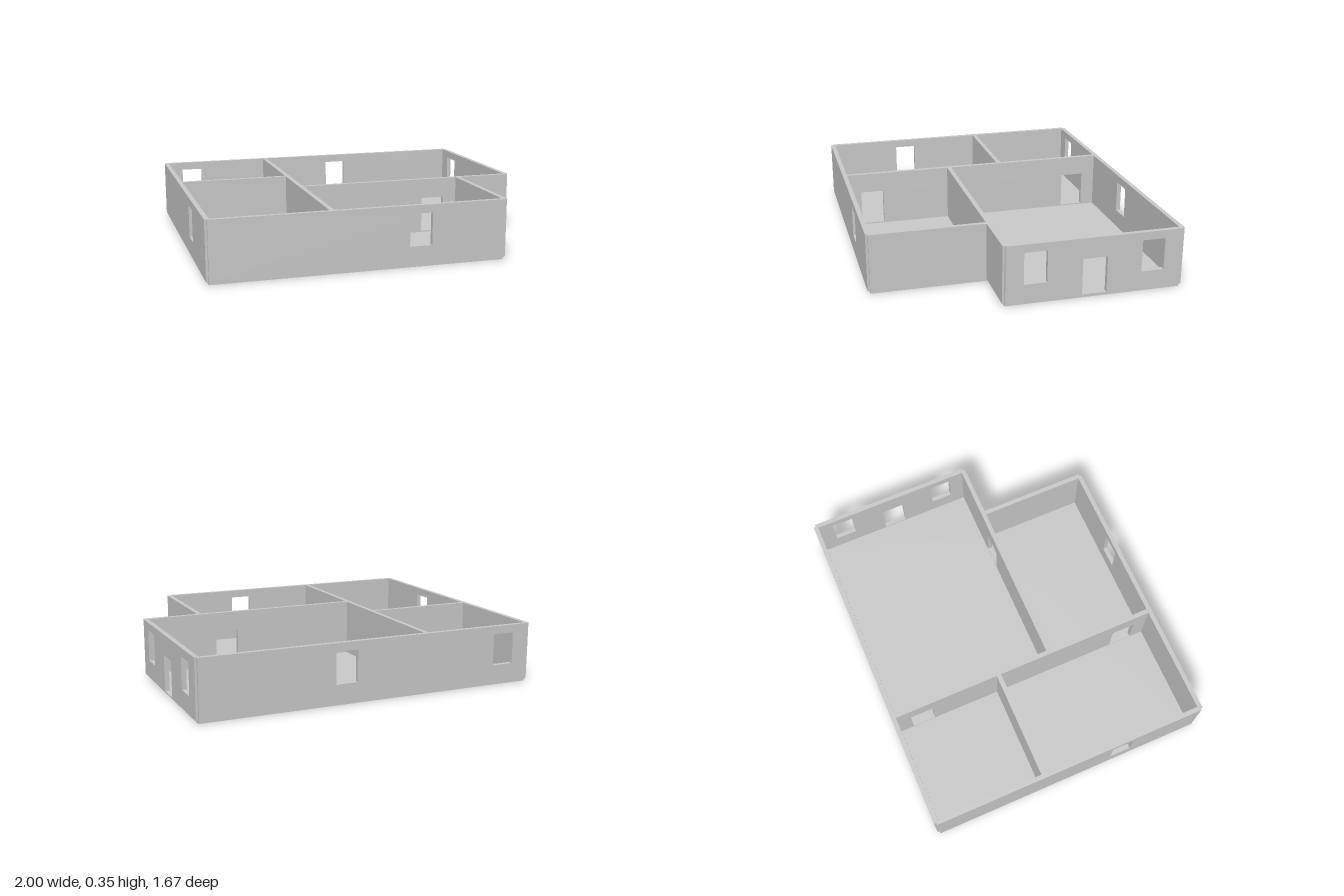
import * as THREE from 'three';

const U = 2 / 6.08;          // one floor-plan module
const T = 0.08 * U;          // wall thickness
const FLOOR = 0.05 * U;      // slab thickness
const HEIGHT = U;            // wall height above the slab

// Openings: width, bottom and top, in modules
const WINDOW = { w: 0.39, y0: 0.31, y1: 0.86 };
const DOOR = { w: 0.42, y0: 0.02, y1: 0.645 };
const windowAt = (at) => ({ ...WINDOW, at });
const doorAt = (at) => ({ ...DOOR, at });

// Plan position (modules, origin at back corner) to model space
const px = (i) => (i - 3) * U;
const pz = (k) => (k - 2.5) * U;

// Walls run along 'x' or 'z' between centre lines; openings are placed along the same axis
const WALLS = [
  { name: 'backWall', axis: 'x', at: 0, from: 0, to: 6, openings: [windowAt(0.5), windowAt(3.5)] },
  { name: 'frontWall', axis: 'x', at: 5, from: 0, to: 5, openings: [windowAt(3.5)] },
  { name: 'leftSideWall', axis: 'z', at: 6, from: 0, to: 3, openings: [windowAt(0.5), doorAt(1.5), windowAt(2.5)] },
  { name: 'rightSideWall', axis: 'z', at: 0, from: 0, to: 5, openings: [windowAt(3.5)] },
  { name: 'recessSideWall', axis: 'z', at: 5, from: 3, to: 5, openings: [] },
  { name: 'crossWall', axis: 'x', at: 3, from: 2, to: 6, openings: [doorAt(4.5)] },
  { name: 'longPartition', axis: 'z', at: 2, from: 0, to: 5, openings: [doorAt(0.5), doorAt(4.5)] },
  { name: 'shortPartition', axis: 'x', at: 2, from: 0, to: 2, openings: [] },
];

function rectangle(target, x0, y0, x1, y1) {
  target.moveTo(x0, y0);
  target.lineTo(x1, y0);
  target.lineTo(x1, y1);
  target.lineTo(x0, y1);
  target.closePath();
  return target;
}

function makeWall({ name, axis, at, from, to, openings }, material) {
  const shape = rectangle(new THREE.Shape(), 0, 0, (to - from) * U, HEIGHT);
  for (const o of openings) {
    const c = o.at - from;
    shape.holes.push(rectangle(new THREE.Path(),
      (c - o.w / 2) * U, o.y0 * U, (c + o.w / 2) * U, o.y1 * U));
  }
  const geometry = new THREE.ExtrudeGeometry(shape, { depth: T, bevelEnabled: false });
  geometry.translate(0, 0, -T / 2);
  const wall = new THREE.Mesh(geometry, material);
  wall.name = name;
  if (axis === 'x') {
    wall.position.set(px(from), FLOOR, pz(at));
  } else {
    wall.rotation.y = -Math.PI / 2;
    wall.position.set(px(at), FLOOR, pz(from));
  }
  return wall;
}

// L-shaped slab reaching to the wall centre lines
function makeFloor(material) {
  const outline = [[0, 0], [6, 0], [6, 3], [5, 3], [5, 5], [0, 5]];
  const shape = new THREE.Shape(outline.map(([i, k]) => new THREE.Vector2(px(i), -pz(k))));
  const geometry = new THREE.ExtrudeGeometry(shape, { depth: FLOOR, bevelEnabled: false });
  geometry.rotateX(-Math.PI / 2);
  const floor = new THREE.Mesh(geometry, material);
  floor.name = 'floor';
  return floor;
}

export function createModel() {
  const house = new THREE.Group();
  house.name = 'house';
  const material = new THREE.MeshStandardMaterial({ color: 0xcccccc });
  house.add(makeFloor(material));
  for (const wall of WALLS) house.add(makeWall(wall, material));
  return house;
}
